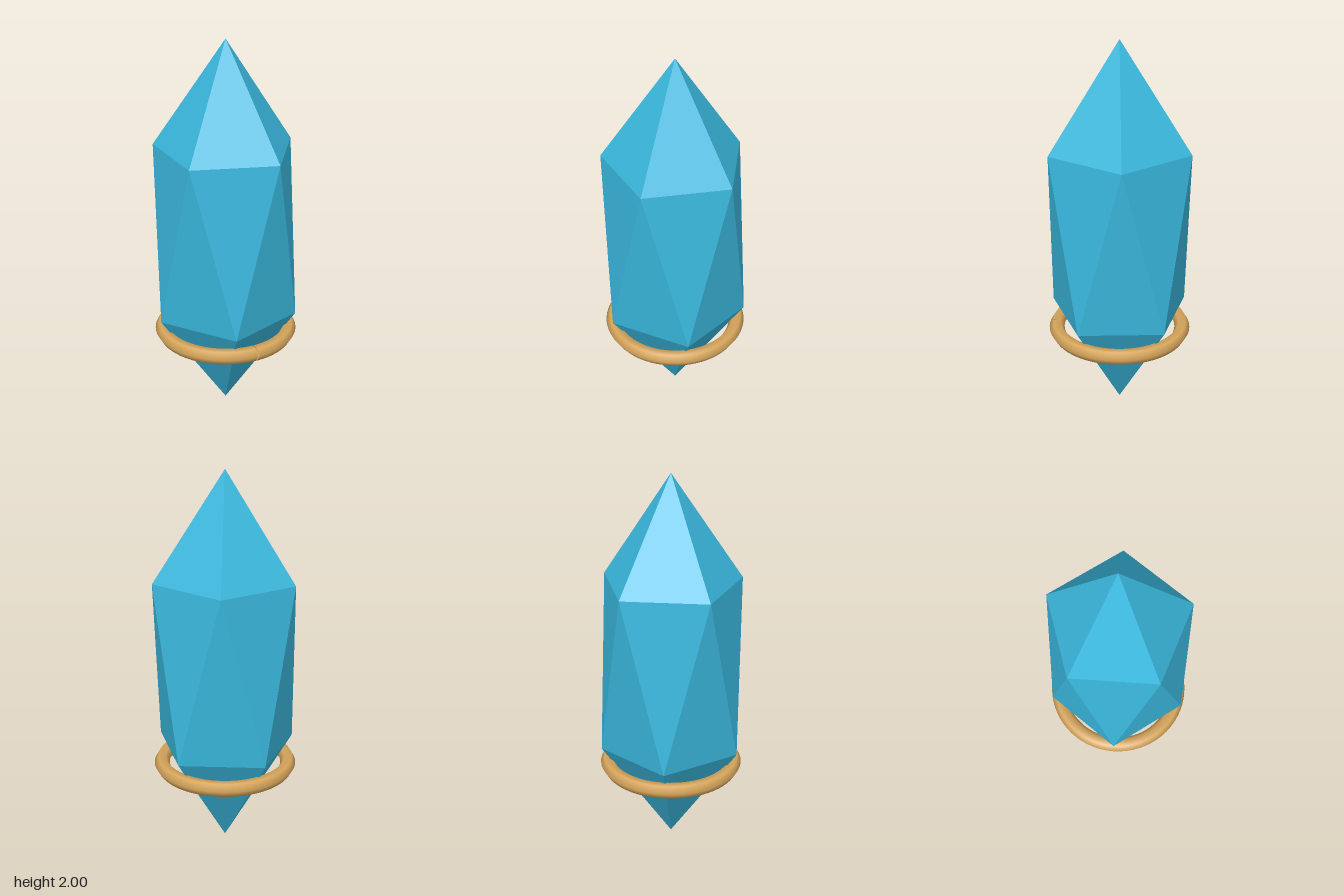
import * as THREE from 'three';

// Faceted gem: two tips joined by two staggered five-sided rings
function gemGeometry() {
  const radius = 0.372, sides = 5;
  const ring = (y, turn) => Array.from({ length: sides }, (_, i) => {
    const a = ((i + turn) / sides) * Math.PI * 2;
    return [radius * Math.cos(a), y, radius * Math.sin(a)];
  });
  const top = [0, 2, 0], bottom = [0, 0.005, 0];
  const upper = ring(1.45, 0), lower = ring(0.555, 0.5);
  const positions = [];
  const tri = (a, b, c) => positions.push(...a, ...b, ...c);
  for (let i = 0; i < sides; i++) {
    const j = (i + 1) % sides;
    tri(top, upper[j], upper[i]);
    tri(upper[i], upper[j], lower[i]);
    tri(lower[i], upper[j], lower[j]);
    tri(lower[i], lower[j], bottom);
  }
  const geometry = new THREE.BufferGeometry();
  geometry.setAttribute('position', new THREE.Float32BufferAttribute(positions, 3));
  geometry.computeVertexNormals();
  return geometry;
}

export function createModel() {
  const crystalBlue = new THREE.MeshStandardMaterial({ name: 'crystalBlue', color: 0x3ab8de, flatShading: true });
  const gold = new THREE.MeshStandardMaterial({ name: 'gold', color: 0xd6a55b, side: THREE.DoubleSide });

  const model = new THREE.Group();
  model.name = 'crystal';

  const gem = new THREE.Mesh(gemGeometry(), crystalBlue);
  gem.name = 'gem';
  model.add(gem);

  // Band around the lower point, with a hairline split at the front
  const gap = 0.014;
  const bandGeometry = new THREE.TorusGeometry(0.334, 0.04, 6, 64, Math.PI * 2 - gap);
  bandGeometry.rotateX(Math.PI / 2);
  bandGeometry.rotateY(-Math.PI / 2 - gap / 2);
  const band = new THREE.Mesh(bandGeometry, gold);
  band.name = 'band';
  band.position.y = 0.45;
  model.add(band);

  return model;
}
